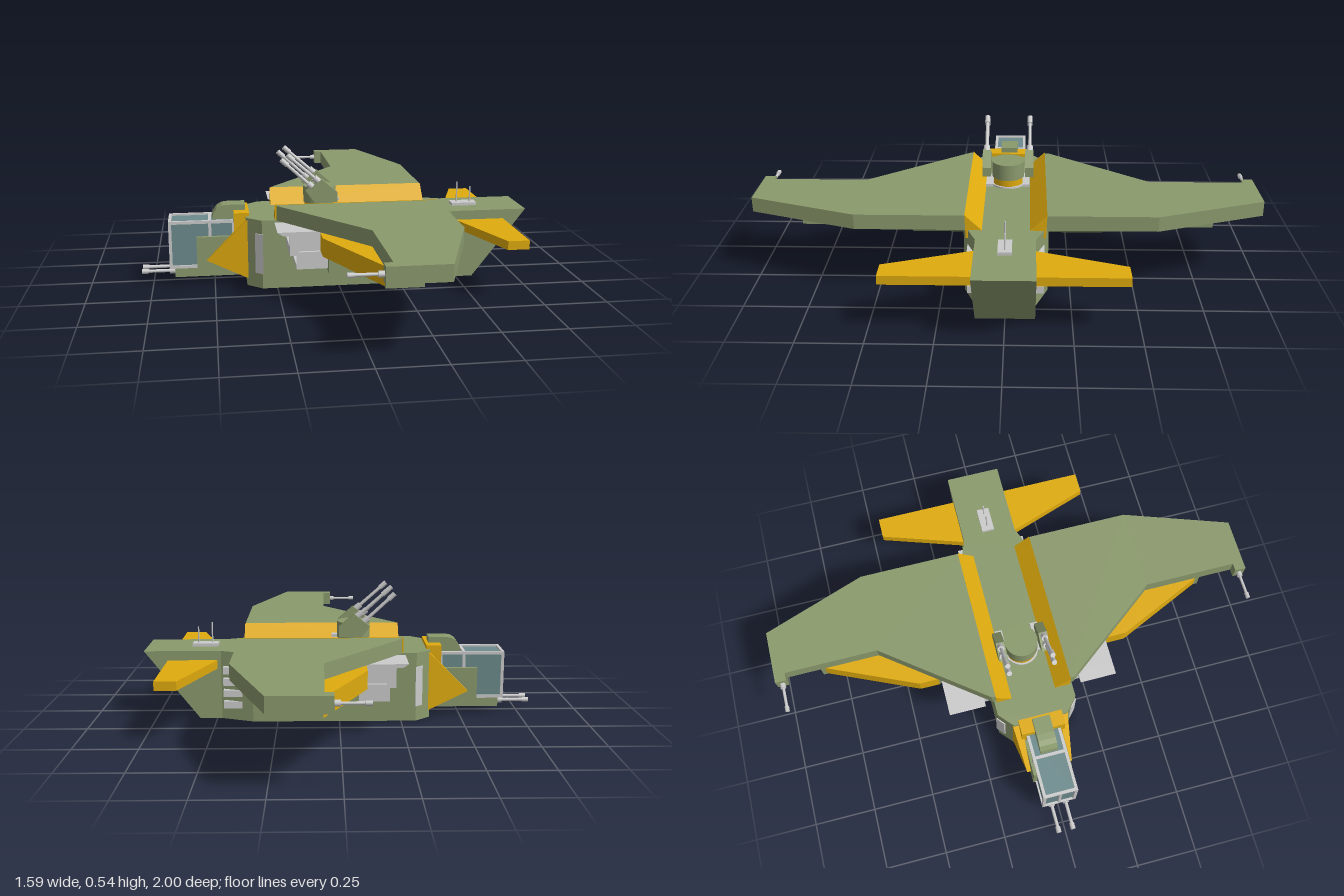
import * as THREE from 'three';
import { ConvexGeometry } from 'three/addons/geometries/ConvexGeometry.js';

const material = (color) => new THREE.MeshStandardMaterial({ color });
const GREEN = material(0x8b9a6d), GOLD = material(0xdfab0e), GREY = material(0xcccccc);
const GLASS = material(0x6d8b8d), DARK = material(0x3a3d38);

export function createModel() {
  const model = new THREE.Group();

  const add = (name, geometry, mat) => {
    const mesh = new THREE.Mesh(geometry, mat);
    mesh.name = name;
    model.add(mesh);
    return mesh;
  };
  const shapeOf = (pts) => new THREE.Shape(pts.map(([a, b]) => new THREE.Vector2(a, b)));
  // Box from its limits on each axis
  const box = (name, mat, x0, x1, y0, y1, z0, z1) => {
    const g = new THREE.BoxGeometry(x1 - x0, y1 - y0, Math.abs(z1 - z0));
    return add(name, g.translate((x0 + x1) / 2, (y0 + y1) / 2, (z0 + z1) / 2), mat);
  };
  // Slab from an (x, z) plan; bend(x, y) may shift x by height
  const slab = (name, mat, pts, y0, y1, s = 1, bend) => {
    const g = new THREE.ExtrudeGeometry(shapeOf(pts.map(([x, z]) => [x, -z * s])), { depth: y1 - y0, bevelEnabled: false });
    g.rotateX(-Math.PI / 2).translate(0, y0, 0);
    if (bend) {
      const p = g.attributes.position;
      for (let i = 0; i < p.count; i++) p.setX(i, bend(p.getX(i), p.getY(i)));
      g.computeVertexNormals();
    }
    return add(name, g, mat);
  };
  // Prism from an (x, y) side profile
  const prism = (name, mat, pts, z0, z1) => {
    const g = new THREE.ExtrudeGeometry(shapeOf(pts), { depth: Math.abs(z1 - z0), bevelEnabled: false });
    return add(name, g.translate(0, 0, Math.min(z0, z1)), mat);
  };
  // Rod between two points
  const rod = (name, mat, a, b, r) => {
    const from = new THREE.Vector3(...a), to = new THREE.Vector3(...b);
    const mesh = add(name, new THREE.CylinderGeometry(r, r, from.distanceTo(to), 12), mat);
    mesh.position.copy(from).add(to).multiplyScalar(0.5);
    mesh.quaternion.setFromUnitVectors(new THREE.Vector3(0, 1, 0), to.sub(from).normalize());
  };
  // Gun: thick breech, thin barrel, muzzle
  const gun = (name, a, b, r) => {
    const at = (t) => a.map((v, i) => v + (b[i] - v) * t);
    rod(name + 'Breech', GREY, a, at(0.2), r * 1.9);
    rod(name + 'Barrel', GREY, at(0.2), b, r);
    rod(name + 'Muzzle', GREY, at(0.82), b, r * 1.5);
  };

  // Hull with chamfered nose, narrowed tail and raked stern
  slab('hull', GREEN, [[-0.37, -0.11], [-0.31, -0.163], [0.35, -0.163], [0.48, -0.113], [0.79, -0.113],
    [0.79, 0.113], [0.48, 0.113], [0.35, 0.163], [-0.31, 0.163], [-0.37, 0.11]], 0, 0.283, 1,
  (x, y) => (x > 0.6 ? 0.57 + 0.22 * y / 0.283 : x));

  // Cockpit: glass block in a grey frame
  box('cockpitGlass', GLASS, -0.672, -0.42, 0.075, 0.258, -0.064, 0.064);
  for (const z of [-0.065, 0.065]) {
    for (const x of [-0.675, -0.515, -0.42]) box('cockpitPost', GREY, x - 0.006, x + 0.006, 0.07, 0.265, z - 0.006, z + 0.006);
    for (const y of [0.075, 0.26]) box('cockpitRail', GREY, -0.681, -0.41, y - 0.006, y + 0.006, z - 0.006, z + 0.006);
  }
  for (const x of [-0.675, -0.515]) {
    for (const y of [0.075, 0.26]) box('cockpitCrossbar', GREY, x - 0.006, x + 0.006, y - 0.006, y + 0.006, -0.07, 0.07);
  }
  box('cockpitFrontPost', GREY, -0.681, -0.669, 0.07, 0.265, -0.005, 0.005);
  box('chin', GREEN, -0.66, -0.36, 0.032, 0.07, -0.068, 0.068);
  box('neck', GREEN, -0.57, -0.36, 0.062, 0.2, -0.08, 0.08);
  box('neckUpper', GREEN, -0.42, -0.36, 0.19, 0.27, -0.07, 0.07);
  prism('canopyHump', GREEN, [[-0.505, 0.262], [-0.5, 0.285], [-0.485, 0.306], [-0.465, 0.318], [-0.44, 0.321],
    [-0.37, 0.321], [-0.37, 0.262]], -0.036, 0.036);

  // Gold collar around the neck
  box('collarTop', GOLD, -0.418, -0.356, 0.266, 0.298, -0.09, 0.09);

  // Turret
  const disc = (name, mat, r, y0, y1) =>
    add(name, new THREE.CylinderGeometry(r, r, y1 - y0, 32).translate(-0.06, (y0 + y1) / 2, 0), mat);
  disc('turretBase', GREY, 0.07, 0.28, 0.29);
  disc('turretRing', GOLD, 0.063, 0.285, 0.32);
  disc('turret', GREEN, 0.067, 0.318, 0.385);

  // Antenna mount
  box('antennaPlate', GREY, 0.5, 0.605, 0.28, 0.295, -0.026, 0.026);
  rod('antenna', GREY, [0.525, 0.29, 0], [0.525, 0.38, 0], 0.003);
  rod('antenna', GREY, [0.582, 0.29, 0], [0.582, 0.36, 0], 0.003);

  for (const s of [1, -1]) {
    // Main wing with its stepped underside
    slab('wing', GREEN, [[-0.25, 0.155], [-0.25, 0.17], [0.062, 0.575], [0.062, 0.955], [0.03, 0.955], [0.03, 1],
      [0.25, 1], [0.4, 0.575], [0.4, 0.155]], 0.283, 0.343, s);
    slab('wingMidLayer', GREEN, [[-0.07, 0.15], [-0.07, 0.395], [0.065, 0.572], [0.4, 0.572], [0.4, 0.15]], 0.203, 0.284, s,
      (x, y) => (x > 0.2 && y < 0.25 ? 0.21 : x));
    slab('wingOuterPod', GREEN, [[0.065, 0.56], [0.065, 0.82], [0.2, 0.82], [0.21, 0.56]], 0.207, 0.284, s);
    prism('wingLowerPod', GREEN, [[-0.07, 0.125], [0.09, 0.125], [0.21, 0.204], [-0.07, 0.204]], 0.15 * s, 0.39 * s);
    slab('wingLeadingEdge', GOLD, [[-0.1, 0.36], [-0.1, 0.44], [0.066, 0.805], [0.066, 0.55]], 0.21, 0.281, s);
    gun('wingGun', [0.035, 0.312, 0.976 * s], [-0.09, 0.312, 0.976 * s], 0.006);

    // Sloped gold strip between deck and wing root
    add('deckStrip', new ConvexGeometry([-0.257, 0.401].flatMap((x) =>
      [[0.345, 0.156], [0.282, 0.09], [0.25, 0.115], [0.25, 0.152]].map(([y, z]) => new THREE.Vector3(x, y, z * s)))), GOLD);

    // Tail fin
    slab('tailFin', GOLD, [[0.49, 0.1], [0.61, 0.45], [0.695, 0.45], [0.695, 0.1]], 0.21, 0.245, s);

    // Two stacked air intakes with open fronts
    for (const [x0, x1, y0, y1] of [[-0.215, -0.07, 0.207, 0.283], [-0.19, -0.06, 0.135, 0.203]]) {
      const t = 0.014;
      box('intakeBody', GREY, x0 + 0.06, x1, y0, y1, 0.15 * s, 0.35 * s);
      box('intakeOpening', DARK, x0 + 0.055, x0 + 0.06, y0 + t, y1 - t, 0.16 * s, 0.34 * s);
      box('intakeRoof', GREY, x0, x0 + 0.06, y1 - t, y1, 0.15 * s, 0.35 * s);
      box('intakeFloor', GREY, x0, x0 + 0.06, y0, y0 + t, 0.15 * s, 0.35 * s);
      box('intakeWall', GREY, x0, x0 + 0.06, y0 + t, y1 - t, 0.336 * s, 0.35 * s);
    }
    prism('intakeUpperLip', GREY, [[-0.262, 0.283], [-0.24, 0.268], [-0.21, 0.268], [-0.21, 0.283]], 0.2 * s, 0.35 * s);
    box('intakeLowerLip', GREY, -0.215, -0.18, 0.189, 0.207, 0.16 * s, 0.35 * s);

    // Side louvres where the hull narrows
    for (const y of [0.065, 0.112, 0.16, 0.208]) box('louvre', GREY, 0.35, 0.47, y - 0.014, y + 0.014, 0.1 * s, 0.146 * s);

    // Grey strip on the nose chamfer
    slab('nosePanel', GREY, [[-0.337, 0.12], [-0.337, 0.145], [-0.307, 0.171], [-0.307, 0.14]], 0.062, 0.226, s);

    // Gold cheek plates and collar sides
    const cheek = [[-0.53, 0.105, 0.078], [-0.53, 0.105, 0.096], [-0.365, 0.275, 0.08], [-0.365, 0.275, 0.115],
      [-0.365, 0.03, 0.08], [-0.365, 0.03, 0.115]];
    add('cheekPlate', new ConvexGeometry(cheek.map(([x, y, z]) => new THREE.Vector3(x, y, z * s))), GOLD);
    box('collarSide', GOLD, -0.418, -0.356, 0.19, 0.298, 0.068 * s, 0.09 * s);

    // Twin nose guns
    gun('noseGun', [-0.655, 0.05, 0.03 * s], [-0.795, 0.05, 0.03 * s], 0.007);

    // Raised turret guns
    prism('turretGunHousing', GREEN, [[-0.125, 0.38], [-0.062, 0.43], [0.002, 0.375], [0.002, 0.335], [-0.09, 0.335]],
      0.07 * s, 0.106 * s);
    gun('turretGun', [-0.09, 0.388, 0.09 * s], [-0.224, 0.512, 0.09 * s], 0.007);
    gun('turretGun', [-0.065, 0.412, 0.09 * s], [-0.199, 0.53, 0.09 * s], 0.007);
    box('turretGunRail', GREY, -0.09, 0.03, 0.302, 0.314, 0.06 * s, 0.09 * s);
  }
  return model;
}
